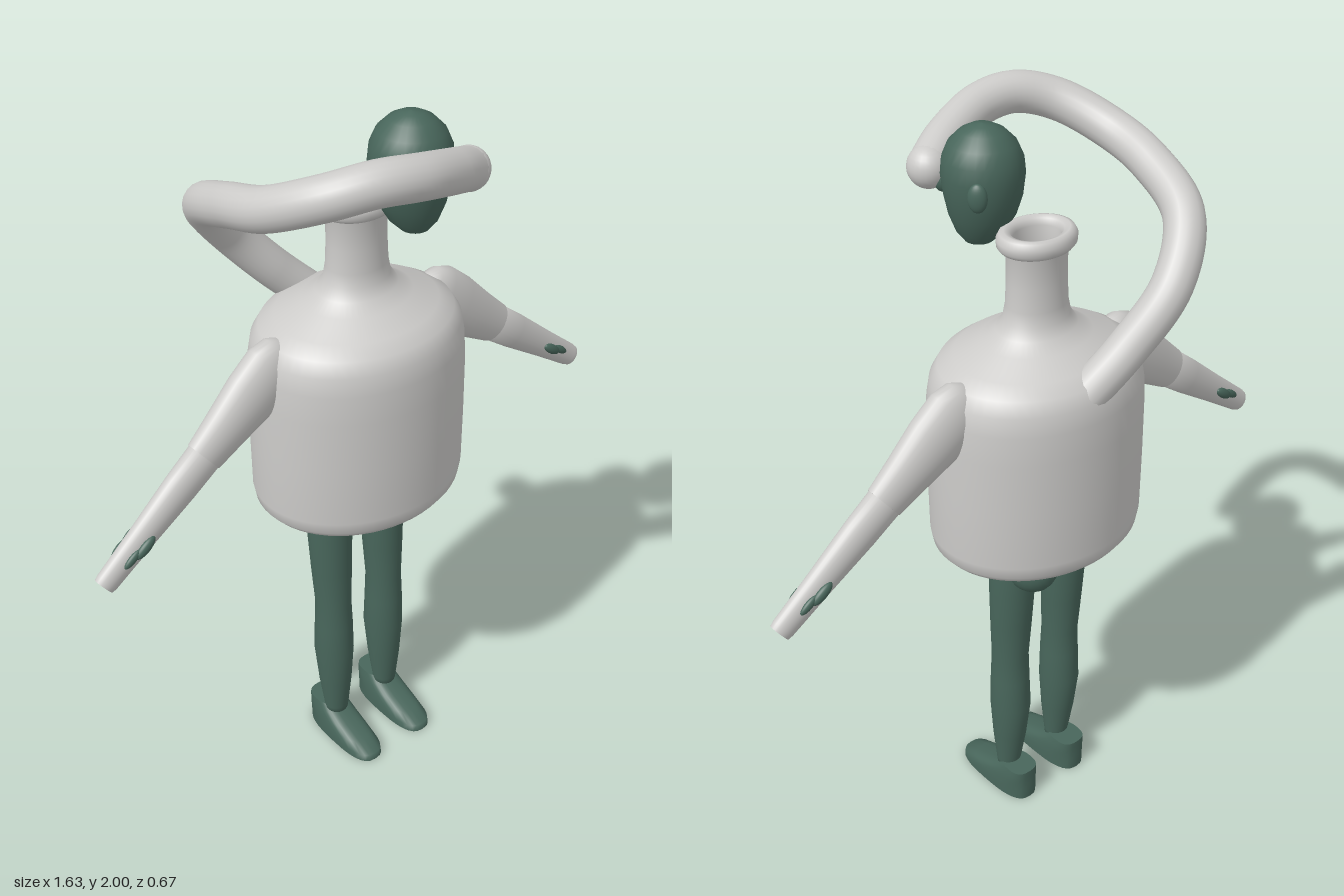
import * as THREE from 'three';

const grey = new THREE.MeshStandardMaterial({ color: 0xcccbc9 });
grey.name = 'pale grey';
const green = new THREE.MeshStandardMaterial({ color: 0x48665b });
green.name = 'dark green';

// Skin of stacked rounded sections: [y, centreX, centreZ, radiusX, radiusZ]
function loft(sections, squareness = 1, n = 28) {
  const pos = [], idx = [];
  const bend = (v) => Math.sign(v) * Math.abs(v) ** squareness;
  for (const [y, cx, cz, rx, rz] of sections) {
    for (let j = 0; j < n; j++) {
      const a = (j / n) * Math.PI * 2;
      pos.push(cx + rx * bend(Math.cos(a)), y, cz + rz * bend(Math.sin(a)));
    }
  }
  for (let i = 0; i < sections.length - 1; i++) {
    for (let j = 0; j < n; j++) {
      const a = i * n + j, b = i * n + (j + 1) % n;
      idx.push(a, a + n, b, b, a + n, b + n);
    }
  }
  const g = new THREE.BufferGeometry();
  g.setAttribute('position', new THREE.Float32BufferAttribute(pos, 3));
  g.setIndex(idx);
  g.computeVertexNormals();
  return g;
}

function add(parent, name, geometry, material, x = 0, y = 0, z = 0) {
  const m = new THREE.Mesh(geometry, material);
  m.name = name;
  m.position.set(x, y, z);
  parent.add(m);
  return m;
}

function ellipsoid(parent, name, material, p, r) {
  const m = add(parent, name, new THREE.SphereGeometry(1, 24, 16), material, ...p);
  m.scale.set(...r);
  return m;
}

function addBody(root) {
  // Bottle with a shallow dished base and an open neck, oval in plan
  const profile = [
    [0, 0.92], [0.12, 0.915], [0.21, 0.895], [0.25, 0.886], [0.275, 0.893], [0.291, 0.912], [0.297, 0.945],
    [0.298, 1.1], [0.297, 1.25], [0.293, 1.33], [0.284, 1.38], [0.262, 1.415], [0.22, 1.44],
    [0.15, 1.472], [0.11, 1.497], [0.09, 1.525], [0.083, 1.56], [0.08, 1.62], [0.08, 1.7],
    [0.095, 1.704], [0.104, 1.715], [0.105, 1.732], [0.097, 1.746], [0.085, 1.75], [0.07, 1.745],
    [0.062, 1.73], [0.06, 1.68], [0.06, 1.5], [0, 1.49],
  ].map((p) => new THREE.Vector2(...p));
  add(root, 'bottleBody', new THREE.LatheGeometry(profile, 56), grey, -0.004, 0, -0.045).scale.z = 0.825;
}

function addTube(root) {
  // Hose sweeping from the back, around the side, to the face
  const path = [
    [0.01, 1.37, -0.225], [-0.1, 1.48, -0.26], [-0.22, 1.62, -0.284], [-0.32, 1.745, -0.215],
    [-0.358, 1.82, -0.06], [-0.355, 1.865, 0.08], [-0.29, 1.92, 0.205], [-0.2, 1.945, 0.262],
    [-0.1, 1.934, 0.277], [0.03, 1.895, 0.245], [0.12, 1.858, 0.202],
  ].map((p) => new THREE.Vector3(...p));
  const curve = new THREE.CatmullRomCurve3(path);
  add(root, 'hose', new THREE.TubeGeometry(curve, 80, 0.052, 20), grey);
  for (const [name, p] of [['hoseBackEnd', path[0]], ['hoseFaceEnd', path[path.length - 1]]]) {
    ellipsoid(root, name, grey, p.toArray(), [0.053, 0.053, 0.053]);
  }
}

function addHead(root) {
  const head = new THREE.Group();
  head.name = 'headGroup';
  head.position.set(0.048, 0, 0.088);
  head.rotation.y = 0.7;
  root.add(head);
  add(head, 'head', loft([
    [1.69, 0, 0.012, 0, 0], [1.69, 0, 0.012, 0.036, 0.036], [1.69, 0, 0.012, 0.036, 0.036],
    [1.715, 0, 0.008, 0.056, 0.06], [1.76, 0, 0.003, 0.078, 0.082], [1.81, 0, 0, 0.093, 0.095],
    [1.86, 0, 0, 0.099, 0.101], [1.9, 0, 0, 0.094, 0.097], [1.935, 0, 0, 0.078, 0.082],
    [1.962, 0, 0, 0.052, 0.055], [1.976, 0, 0, 0.026, 0.028], [1.98, 0, 0, 0, 0],
  ]), green);
  for (const s of [-1, 1]) {
    ellipsoid(head, 'ear', green, [s * 0.1, 1.837, -0.005], [0.015, 0.036, 0.024]);
  }
  ellipsoid(head, 'nose', green, [0, 1.835, 0.095], [0.02, 0.03, 0.025]);
}

function addArm(root, s) {
  // Tapered sleeve in two pieces, laid along the arm's own y axis
  const arm = new THREE.Group();
  arm.name = s > 0 ? 'leftArm' : 'rightArm';
  arm.position.set(s * 0.25, 1.36, -0.055);
  const dir = new THREE.Vector3(s * 0.545, -0.405, 0.015).normalize();
  arm.quaternion.setFromUnitVectors(new THREE.Vector3(0, 1, 0), dir);
  root.add(arm);
  add(arm, 'upperSleeve', loft([
    [-0.06, 0, 0, 0, 0], [-0.05, 0, 0, 0.045, 0.027], [-0.025, 0, 0, 0.075, 0.045], [0.02, 0, 0, 0.09, 0.054],
    [0.1, 0, 0, 0.085, 0.053], [0.2, 0, 0, 0.068, 0.046], [0.288, 0, 0, 0.056, 0.039],
    [0.288, 0, 0, 0.056, 0.039], [0.288, 0, 0, 0, 0],
  ]), grey);
  add(arm, 'lowerSleeve', loft([
    [0.27, 0, 0, 0, 0], [0.28, 0, 0, 0.053, 0.037], [0.38, 0, 0, 0.05, 0.035], [0.53, 0, 0, 0.04, 0.029],
    [0.665, 0, 0, 0.033, 0.025], [0.68, 0, 0, 0.03, 0.023], [0.68, 0, 0, 0.03, 0.023], [0.68, 0, 0, 0, 0],
  ]), grey);
  // Fingers peeping through both faces of the sleeve
  for (const f of [-1, 1]) {
    ellipsoid(arm, 'finger', green, [0, 0.545, f * 0.03], [0.014, 0.035, 0.012]);
    ellipsoid(arm, 'finger', green, [-s * 0.008, 0.585, f * 0.027], [0.011, 0.03, 0.009]);
  }
}

function addLeg(root, s) {
  const leg = new THREE.Group();
  leg.name = s > 0 ? 'leftLeg' : 'rightLeg';
  leg.position.x = s * 0.092;
  root.add(leg);
  add(leg, 'legShape', loft([
    [0.07, 0, -0.045, 0, 0], [0.07, 0, -0.045, 0.035, 0.032], [0.1, 0, -0.042, 0.036, 0.034],
    [0.2, 0, -0.046, 0.047, 0.048], [0.32, 0, -0.05, 0.055, 0.06], [0.42, 0, -0.049, 0.053, 0.056],
    [0.5, 0, -0.05, 0.05, 0.053], [0.62, 0, -0.055, 0.057, 0.057], [0.75, 0, -0.06, 0.062, 0.062],
    [0.85, 0, -0.062, 0.06, 0.06], [0.92, 0, -0.062, 0.056, 0.055], [0.92, 0, -0.062, 0, 0],
  ]), green);
  // Wedge shoe: straight heel, low toe
  add(leg, 'foot', loft([
    [0, 0, 0, 0, 0], [0, 0, 0.002, 0.053, 0.137], [0, 0, 0.002, 0.053, 0.137], [0.02, 0, 0, 0.053, 0.135],
    [0.04, 0, -0.025, 0.051, 0.11], [0.06, 0, -0.052, 0.049, 0.082], [0.08, 0, -0.073, 0.046, 0.061],
    [0.1, 0, -0.087, 0.042, 0.047], [0.1, 0, -0.087, 0.042, 0.047], [0.1, 0, -0.087, 0, 0],
  ], 0.72), green);
  ellipsoid(leg, 'buttock', green, [-s * 0.024, 0.832, -0.112], [0.07, 0.076, 0.075]);
}

export function createModel() {
  const root = new THREE.Group();
  root.name = 'bottleFigure';
  addBody(root);
  addTube(root);
  addHead(root);
  add(root, 'pelvis', loft([
    [0.765, 0, -0.07, 0, 0], [0.765, 0, -0.07, 0.06, 0.045], [0.8, 0, -0.065, 0.095, 0.06],
    [0.845, 0, -0.065, 0.138, 0.066], [0.92, 0, -0.062, 0.14, 0.066], [0.92, 0, -0.062, 0, 0],
  ], 0.8), green);
  for (const s of [-1, 1]) {
    addArm(root, s);
    addLeg(root, s);
  }
  return root;
}
